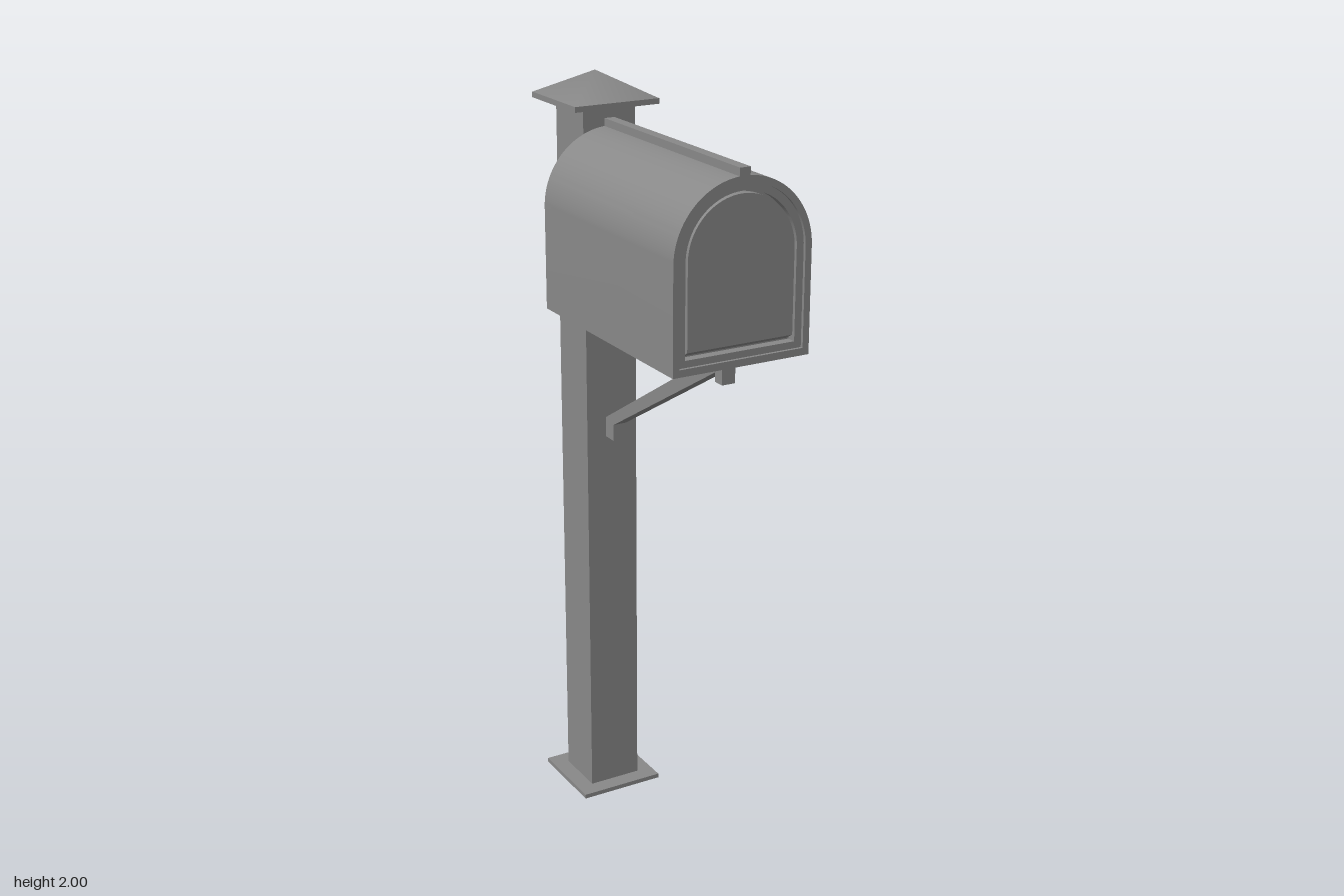
import * as THREE from 'three';
import { mergeVertices, toCreasedNormals } from 'three/addons/utils/BufferGeometryUtils.js';

const POST_Z = -0.296;  // centre line of the post
const SPRING_Y = 1.69;  // height where the arch of the box begins
const GREY = 0x888888;
const smooth = new THREE.MeshStandardMaterial({ color: GREY });
const flat = new THREE.MeshStandardMaterial({ color: GREY, flatShading: true });
const open = new THREE.MeshStandardMaterial({ color: GREY, flatShading: true, side: THREE.DoubleSide });

function add(group, name, geometry, material = flat) {
  const mesh = new THREE.Mesh(geometry, material);
  mesh.name = name;
  group.add(mesh);
  return mesh;
}

// Round-topped outline: half width r, flat bottom
function arch(r, bottom, Type = THREE.Shape) {
  const s = new Type();
  s.moveTo(-r, bottom);
  s.lineTo(r, bottom);
  s.lineTo(r, SPRING_Y);
  s.absarc(0, SPRING_Y, r, 0, Math.PI, false);
  s.closePath();
  return s;
}

function polygon(points, Type = THREE.Shape) {
  return new Type(points.map(p => new THREE.Vector2(...p)));
}

function square(h, Type) {
  return polygon([[-h, -h], [h, -h], [h, h], [-h, h]], Type);
}

// Extrude an outline along z between two depths
function slab(shape, z0, z1, hole) {
  if (hole) shape.holes.push(hole);
  const g = new THREE.ExtrudeGeometry(shape, { depth: z1 - z0, bevelEnabled: false, curveSegments: 32 });
  g.translate(0, 0, z0);
  return toCreasedNormals(g, 0.5);
}

// Four-sided pyramid whose faces blend softly into each other
function softPyramid(half, height) {
  const g = new THREE.ConeGeometry(half * Math.SQRT2, height, 4, 1, true);
  g.deleteAttribute('normal');
  g.deleteAttribute('uv');
  const merged = mergeVertices(g.rotateY(Math.PI / 4), 1e-4);
  merged.computeVertexNormals();
  return merged;
}

export function createModel() {
  const model = new THREE.Group();
  model.name = 'mailbox';

  // Hollow post, base flange and pyramid cap
  const post = new THREE.Group();
  post.name = 'postAssembly';
  post.position.z = POST_Z;
  model.add(post);
  const postRadius = 0.073 * Math.SQRT2;
  const tube = new THREE.CylinderGeometry(postRadius, postRadius, 1.925, 4, 1, true);
  add(post, 'post', tube.rotateY(Math.PI / 4).translate(0, 0.9625, 0), open);

  const flange = slab(square(0.117), 0, 0.012, square(0.072, THREE.Path));
  add(post, 'baseFlange', flange.rotateX(-Math.PI / 2));

  add(post, 'capRim', new THREE.BoxGeometry(0.236, 0.014, 0.234)).position.y = 1.93;
  add(post, 'capRoof', softPyramid(0.117, 0.063), smooth).position.y = 1.9685;

  // Arched box: outer shell, stepped front frame, solid core and door
  const box = new THREE.Group();
  box.name = 'box';
  model.add(box);
  add(box, 'shell', slab(arch(0.184, 1.428), -0.222, 0.412, arch(0.167, 1.446, THREE.Path)), smooth);
  add(box, 'core', slab(arch(0.167, 1.446), -0.222, 0.38), smooth);
  add(box, 'frontFrame', slab(arch(0.167, 1.446), 0.38, 0.404, arch(0.148, 1.463, THREE.Path)), smooth);
  add(box, 'door', slab(arch(0.142, 1.48), 0.38, 0.404), smooth);
  add(box, 'topStrip', new THREE.BoxGeometry(0.028, 0.032, 0.634)).position.set(0, 1.877, 0.095);

  // Sloped underside of the door
  const lip = polygon([[0.38, 1.466], [0.404, 1.48], [0.38, 1.48]]);
  add(box, 'doorLip', slab(lip, -0.142, 0.142).rotateY(-Math.PI / 2));

  // Diagonal brace with a foot at each end, drawn in side profile (z, y)
  const profile = polygon([
    [0.355, 1.43], [0.355, 1.367], [0.323, 1.367], [0.323, 1.39], [-0.18, 1.097],
    [-0.18, 1.052], [-0.225, 1.052], [-0.225, 1.104], [0.318, 1.43],
  ]);
  add(model, 'brace', slab(profile, -0.018, 0.018).rotateY(-Math.PI / 2));

  return model;
}
